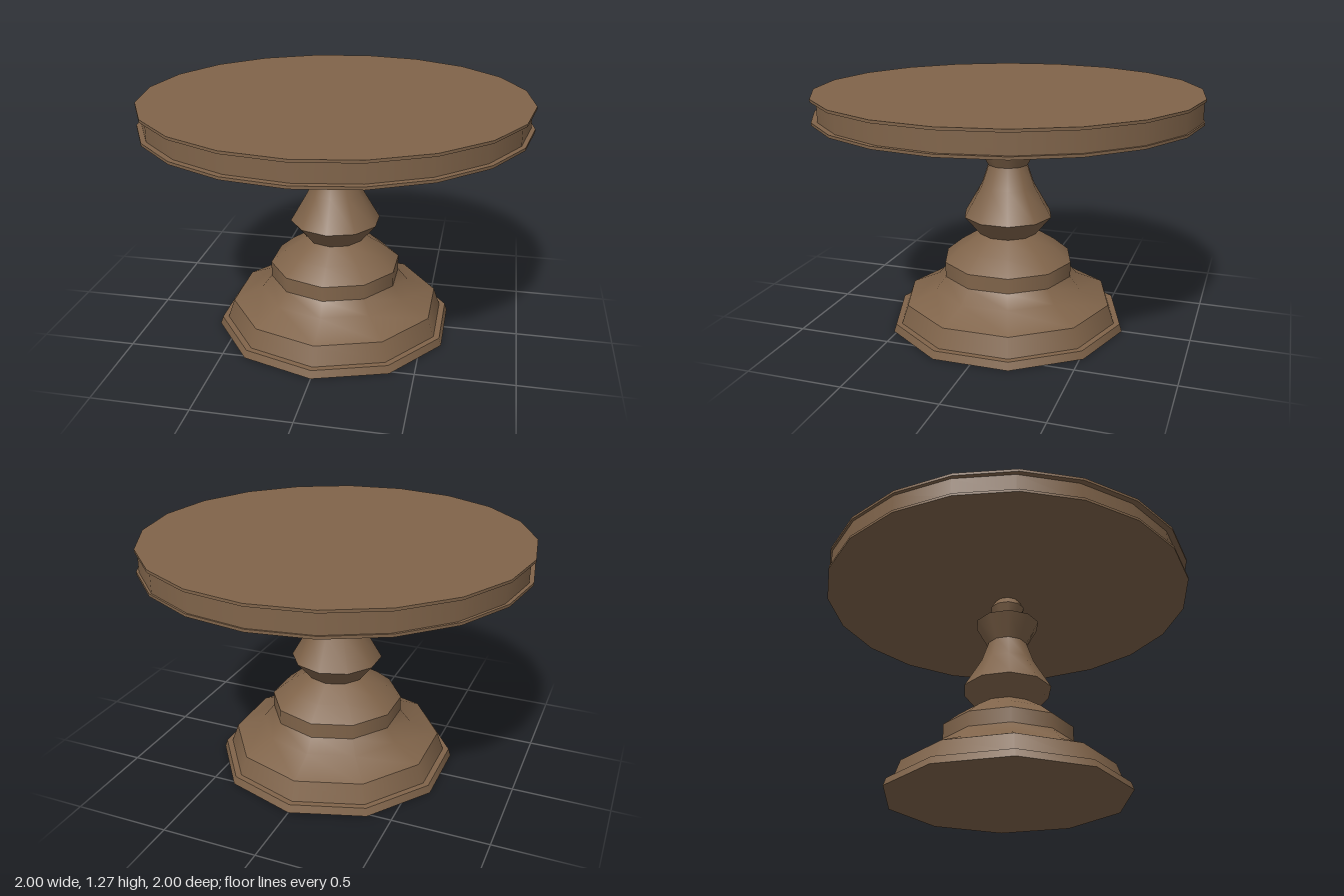
import * as THREE from 'three';
import { mergeGeometries } from 'three/addons/utils/BufferGeometryUtils.js';

const wood = new THREE.MeshStandardMaterial({ color: 0x80644a });
wood.name = 'brown wood';

// Turned part: every strip is a smooth run of [radius, y] from bottom to top,
// with a hard edge between one strip and the next.
function turned(name, sides, strips) {
  const lathes = strips.map((strip) =>
    new THREE.LatheGeometry(strip.map(([r, y]) => new THREE.Vector2(r, y)), sides));
  const mesh = new THREE.Mesh(mergeGeometries(lathes), wood);
  mesh.name = name;
  return mesh;
}

// Flat-faced disc with a slightly rounded-off edge radius
function disc(name, rBottom, rTop, y0, y1) {
  return turned(name, 20, [
    [[0, y0], [rBottom, y0]],
    [[rBottom, y0], [rTop, y1]],
    [[rTop, y1], [0, y1]],
  ]);
}

export function createModel() {
  const table = new THREE.Group();
  table.name = 'pedestalTable';

  // Stepped foot
  table.add(turned('foot', 10, [
    [[0, 0], [0.64, 0]],
    [[0.64, 0], [0.627, 0.04]],
    [[0.627, 0.04], [0.595, 0.04]],
    [[0.595, 0.04], [0.56, 0.14]],
    [[0.56, 0.14], [0.405, 0.21], [0.35, 0.28]],
    [[0.35, 0.28], [0.35, 0.36]],
    [[0.35, 0.36], [0.265, 0.43], [0.155, 0.5]],
  ]));

  // Vase-shaped column with a flared collar
  table.add(turned('column', 10, [
    [[0.155, 0.5], [0.24, 0.6]],
    [[0.24, 0.6], [0.147, 0.76], [0.107, 0.875]],
    [[0.107, 0.875], [0.175, 1.0]],
    [[0.175, 1.0], [0.098, 1.0]],
  ]));

  // Small neck under the top
  table.add(turned('neck', 10, [
    [[0.098, 1.0], [0.063, 1.02]],
    [[0.063, 1.02], [0.094, 1.1]],
    [[0.094, 1.1], [0.066, 1.145]],
  ]));

  // Round top: recessed apron between two thin rims
  table.add(disc('lowerRim', 1, 1, 1.142, 1.156));
  const apron = turned('apron', 20, [[[0.98, 1.156], [0.98, 1.256]]]);
  apron.position.z = -0.012;
  table.add(apron);
  table.add(disc('tableTop', 1, 1, 1.256, 1.27));

  return table;
}
